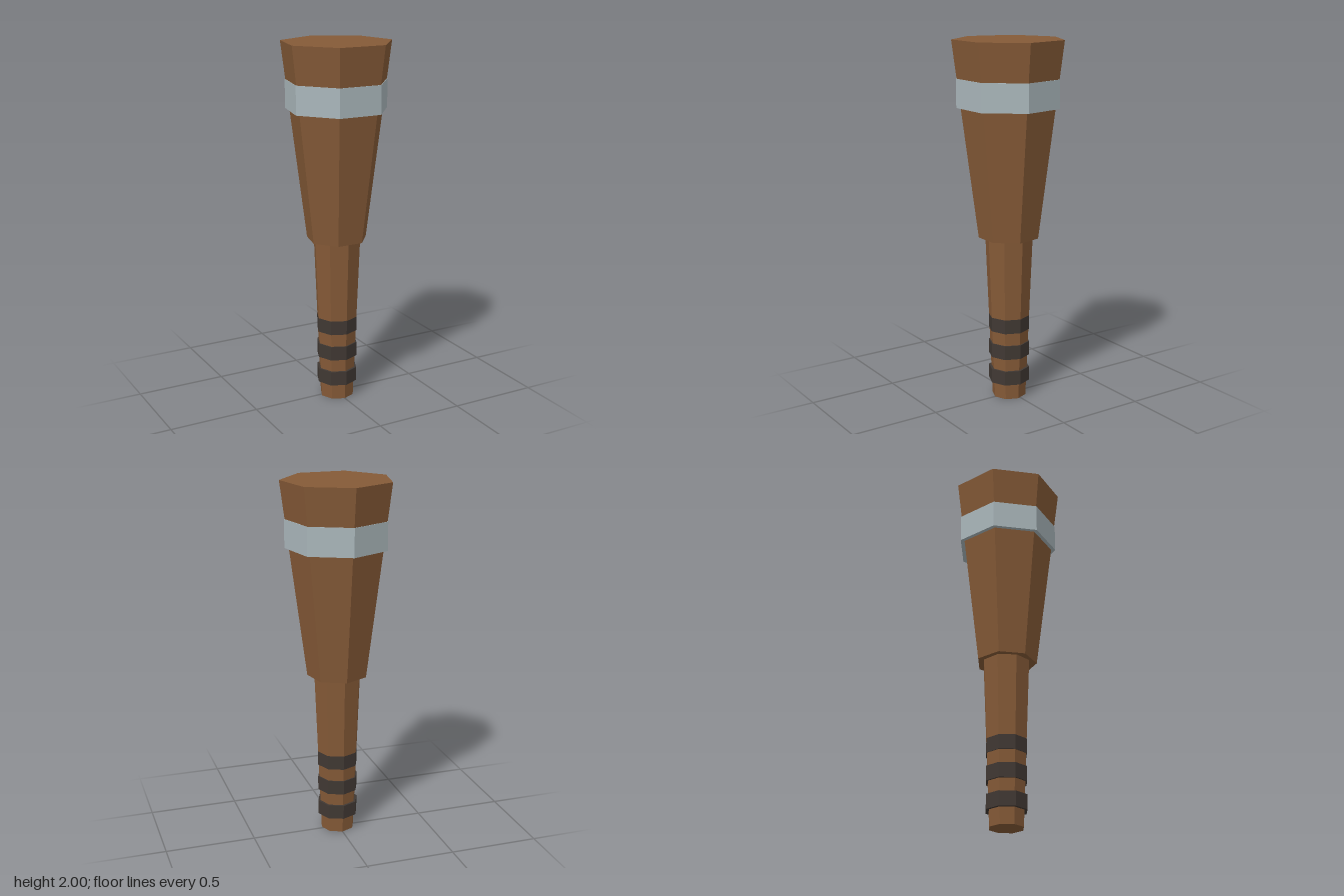
import * as THREE from 'three';

export function createModel() {
  const model = new THREE.Group();
  const paint = (color) => new THREE.MeshStandardMaterial({ color, flatShading: true });
  const wood = paint(0x855a37);
  const metal = paint(0xa9b6ba);
  const leather = paint(0x403833);

  // Faceted, optionally tapered section of the shaft between two heights
  function section(name, bottomRadius, topRadius, y0, y1, sides, turn, material) {
    const geometry = new THREE.CylinderGeometry(topRadius, bottomRadius, y1 - y0, sides, 1, false, turn);
    const mesh = new THREE.Mesh(geometry, material);
    mesh.name = name;
    mesh.position.set(0, (y0 + y1) / 2, 0.015);
    model.add(mesh);
  }

  // Seven-sided striking head, with a corner at the back, and its metal band
  section('head', 0.167, 0.305, 0.925, 2, 7, Math.PI, wood);
  section('headBand', 0.282, 0.282, 1.64, 1.795, 7, Math.PI, metal);

  // Eight-sided handle
  section('handle', 0.095, 0.133, 0, 0.93, 8, 0, wood);

  // Grip wraps
  for (let i = 0; i < 3; i++) {
    const y = 0.09 + i * 0.152;
    section(`gripWrap${i + 1}`, 0.115, 0.115, y, y + 0.08, 8, 0, leather);
  }

  return model;
}
